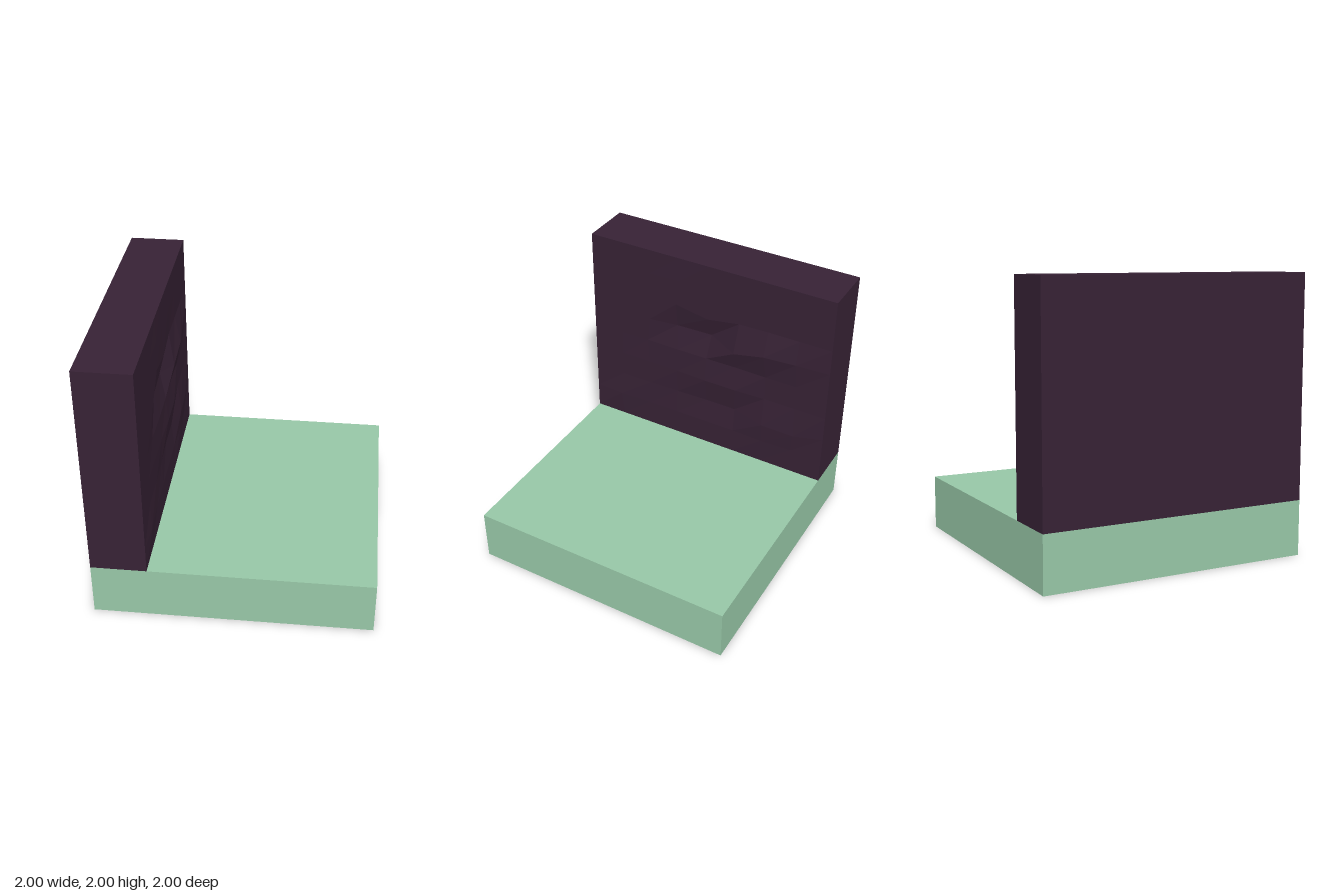
import * as THREE from 'three';

const wallMaterial = new THREE.MeshStandardMaterial({ color: 0x372235, flatShading: true });
wallMaterial.name = 'dark plum';
const floorMaterial = new THREE.MeshStandardMaterial({ color: 0x98c8a8, flatShading: true });
floorMaterial.name = 'pale green';

// Dents and bumps on the wall's inner face: grid y, grid z, then offsets in x, y, z
const bumps = [
  [1.8, -0.75, 0, -0.01, 0], [1.8, 0.25, 0.002, 0.01, 0],
  [1.6, 0, -0.003, -0.05, 0], [1.6, 0.25, 0, 0, 0.02], [1.6, -0.25, -0.005, -0.01, -0.01],
  [1.4, -0.5, 0.04, 0, 0.01], [1.4, -0.25, 0.03, -0.06, 0.01], [1.4, -0.75, 0.016, 0, 0.01],
  [1.4, 0, -0.04, 0, -0.02], [1.4, 0.25, -0.03, 0, 0.02],
  [1.2, 0.5, -0.005, 0, 0.02], [1.2, -0.25, -0.004, 0, 0.01],
  [1.0, 0, 0.012, 0, 0], [1.0, -0.25, 0.012, 0, -0.01], [1.0, 0.25, 0.003, 0, 0],
  [0.8, 0, -0.015, 0, 0], [0.8, -0.25, -0.015, 0, 0], [0.8, 0.25, -0.006, 0, 0],
  [0.8, -0.5, 0.02, -0.04, 0], [0.8, -0.75, 0.012, -0.05, -0.01],
  [0.6, 0.75, 0.01, 0, 0.02], [0.6, -0.5, 0.008, 0, 0],
];

function createWallGeometry() {
  const geometry = new THREE.BoxGeometry(0.4, 1.6, 2, 1, 8, 8);
  geometry.translate(-0.8, 1.2, 0);
  const p = geometry.attributes.position;
  for (let i = 0; i < p.count; i++) {
    const x = p.getX(i), y = p.getY(i), z = p.getZ(i);
    if (x < -0.7) continue;
    const b = bumps.find(([by, bz]) => Math.abs(by - y) < 0.01 && Math.abs(bz - z) < 0.01);
    if (b) p.setXYZ(i, x + b[2], y + b[3], z + b[4]);
  }
  geometry.computeVertexNormals();
  return geometry;
}

export function createModel() {
  const model = new THREE.Group();
  model.name = 'wallAndFloorTile';

  // Floor slab
  const floor = new THREE.Mesh(new THREE.BoxGeometry(2, 0.4, 2), floorMaterial);
  floor.name = 'floor';
  floor.position.y = 0.2;

  // Rough wall along one side
  const wall = new THREE.Mesh(createWallGeometry(), wallMaterial);
  wall.name = 'wall';

  model.add(floor, wall);
  return model;
}
